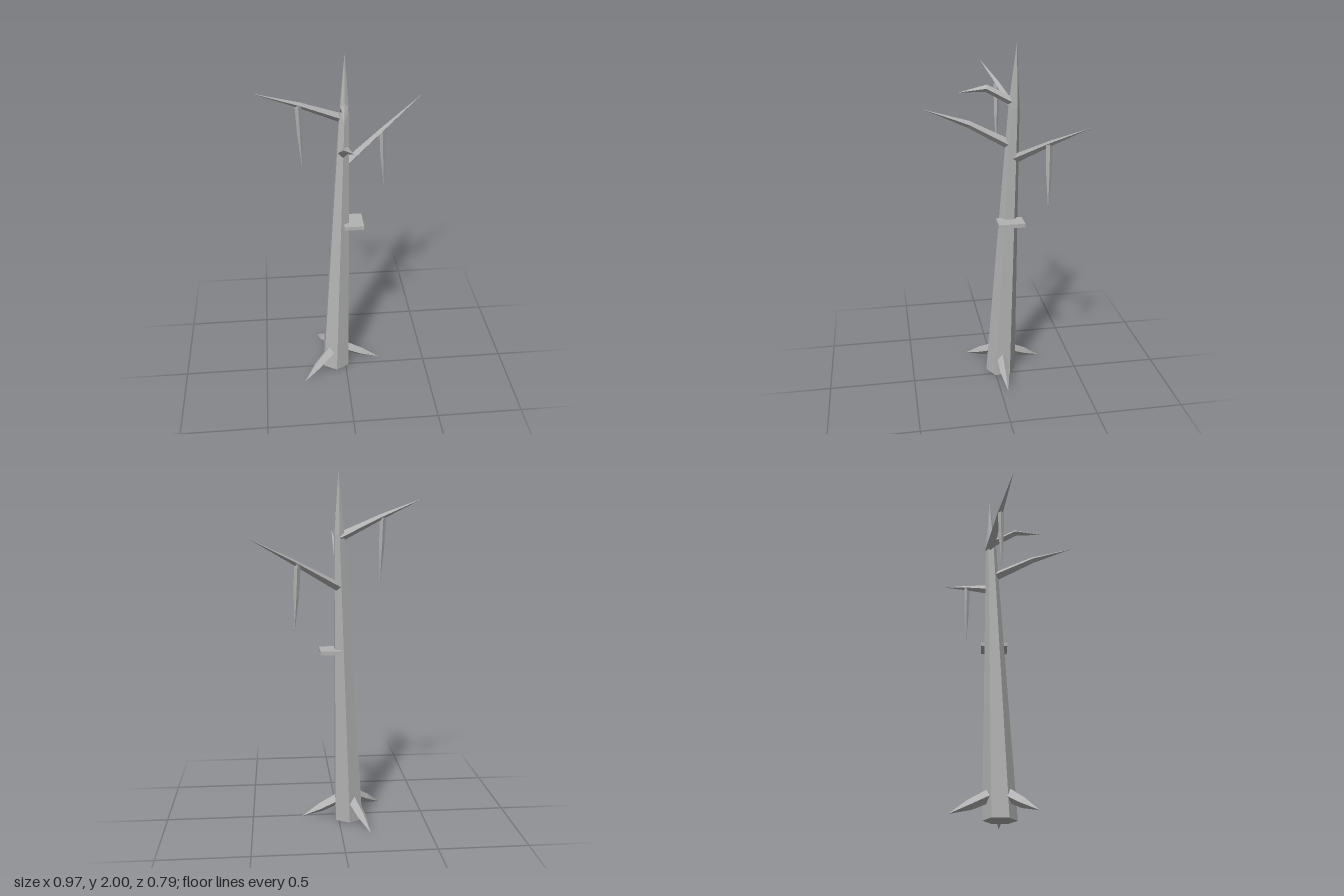
import * as THREE from 'three';

const bark = new THREE.MeshStandardMaterial({ color: 0xb2b2b2, flatShading: true });
bark.name = 'paleGreyBark';

// Four-sided limb through a few [x, y, z, radius] stations, ending in a point
function limb(name, stations) {
  const pts = stations.map(([x, y, z]) => new THREE.Vector3(x, y, z));
  const pos = [], idx = [];
  stations.forEach((s, i) => {
    const dir = pts[Math.min(i + 1, pts.length - 1)].clone().sub(pts[Math.max(i - 1, 0)]).normalize();
    const ref = Math.abs(dir.y) > 0.9 ? new THREE.Vector3(0, 0, 1) : new THREE.Vector3(0, 1, 0);
    const side = dir.clone().cross(ref).normalize();
    const up = side.clone().cross(dir);
    for (let k = 0; k < 4; k++) {
      const a = k * Math.PI / 2;
      const p = pts[i].clone()
        .addScaledVector(side, Math.cos(a) * s[3])
        .addScaledVector(up, Math.sin(a) * s[3]);
      pos.push(p.x, p.y, p.z);
    }
  });
  for (let i = 0; i < stations.length - 1; i++) {
    for (let k = 0; k < 4; k++) {
      const a = i * 4 + k, b = i * 4 + (k + 1) % 4, c = b + 4, e = a + 4;
      idx.push(a, c, b);
      if (stations[i + 1][3] > 0) idx.push(a, e, c);
    }
  }
  idx.push(0, 1, 2, 0, 2, 3); // base cap
  const indexed = new THREE.BufferGeometry();
  indexed.setAttribute('position', new THREE.Float32BufferAttribute(pos, 3));
  indexed.setIndex(idx);
  const geo = indexed.toNonIndexed();
  geo.computeVertexNormals();
  const mesh = new THREE.Mesh(geo, bark);
  mesh.name = name;
  return mesh;
}

// Leaning six-sided trunk with a sharp broken top
function trunk() {
  const rings = [[0, 0, -0.06, -0.04, 0.09], [1, 1.66, 0, -0.1, 0.031], [2, 2, 0.005, -0.112, 0.0005]];
  const raw = new THREE.CylinderGeometry(1, 1, 2, 6, 2);
  const p = raw.attributes.position;
  for (let i = 0; i < p.count; i++) {
    const [, y, cx, cz, r] = rings[Math.round(p.getY(i) + 1)];
    p.setXYZ(i, cx + p.getX(i) * r, y, cz + p.getZ(i) * r);
  }
  const geo = raw.toNonIndexed();
  geo.computeVertexNormals();
  const mesh = new THREE.Mesh(geo, bark);
  mesh.name = 'trunk';
  return mesh;
}

export function createModel() {
  const tree = new THREE.Group();
  tree.name = 'deadTree';
  tree.add(trunk());

  // Bare branches
  tree.add(
    limb('leftBranch', [[0, 1.37, -0.105, 0.025], [0.25, 1.52, -0.255, 0.014], [0.48, 1.65, -0.4, 0]]),
    limb('rightBranch', [[0, 1.64, -0.11, 0.026], [-0.24, 1.75, -0.05, 0.015], [-0.485, 1.85, 0.018, 0]]),
    limb('lowerFrontBranch', [[-0.01, 1.445, -0.09, 0.028], [-0.005, 1.575, 0.15, 0.019], [0.005, 1.665, 0.39, 0]]),
    limb('upperFrontBranch', [[0, 1.68, -0.11, 0.024], [-0.01, 1.765, 0.05, 0.02], [-0.03, 1.742, 0.2, 0]])
  );

  // Hanging twigs
  tree.add(
    limb('rightHangingTwig', [[-0.245, 1.745, -0.046, 0.018], [-0.24, 1.58, -0.044, 0.014], [-0.233, 1.38, -0.04, 0]]),
    limb('leftHangingTwig', [[0.232, 1.51, -0.245, 0.018], [0.239, 1.34, -0.245, 0.014], [0.25, 1.15, -0.243, 0]])
  );

  // Roots
  tree.add(
    limb('leftRoot', [[-0.02, 0.125, -0.04, 0.034], [0.1, 0.065, -0.04, 0.027], [0.217, 0.01, -0.04, 0]]),
    limb('rightRoot', [[-0.09, 0.125, 0, 0.034], [-0.18, 0.065, 0.07, 0.027], [-0.265, 0.01, 0.147, 0]]),
    limb('backRoot', [[-0.08, 0.125, -0.09, 0.034], [-0.125, 0.065, -0.195, 0.027], [-0.163, 0.01, -0.3, 0]])
  );

  // Small square shelf on the trunk
  const shelf = new THREE.Mesh(new THREE.BoxGeometry(0.113, 0.022, 0.15), bark);
  shelf.name = 'shelf';
  shelf.position.set(0.05, 1.011, -0.076);
  tree.add(shelf);

  return tree;
}
